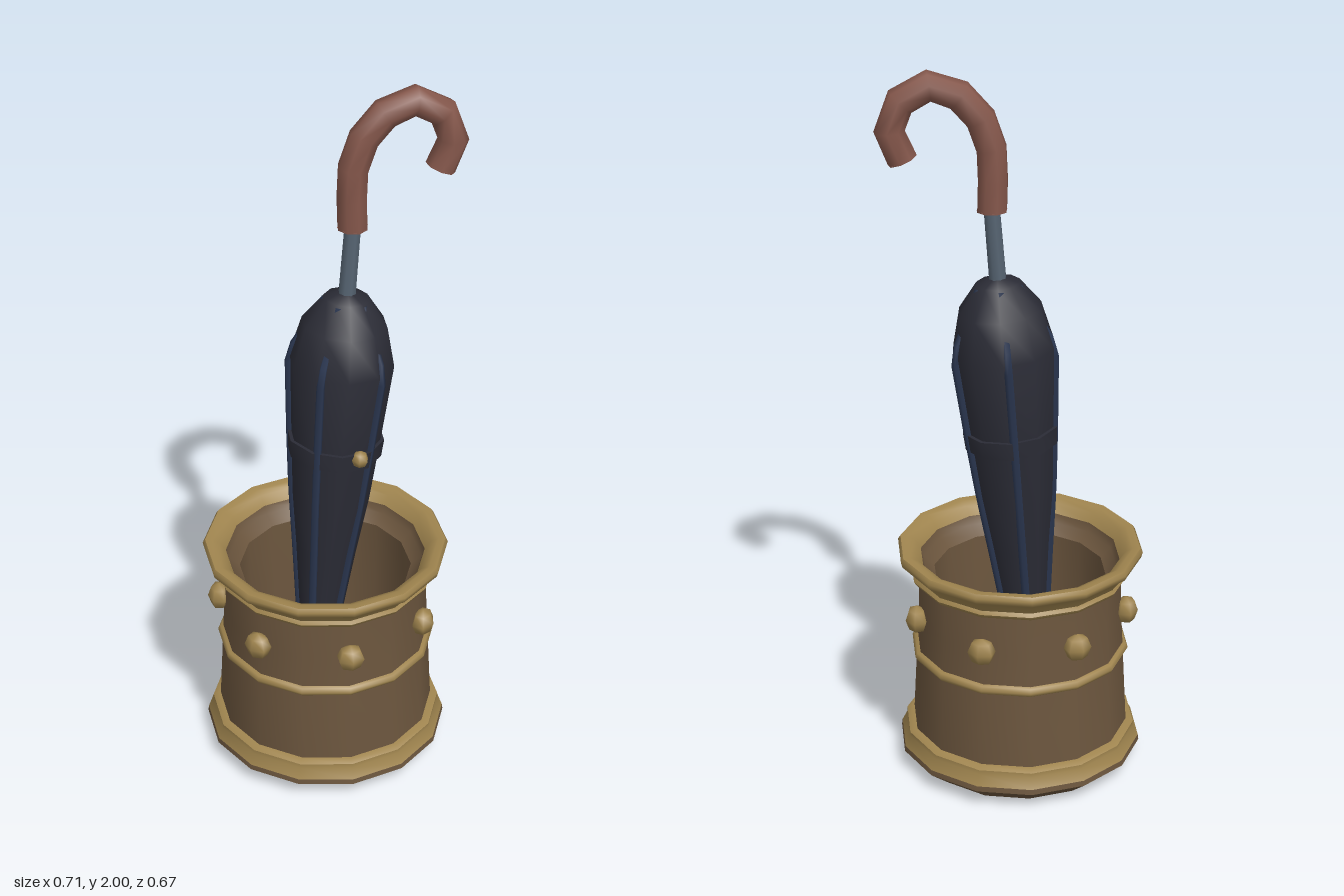
import * as THREE from 'three';
import { toCreasedNormals } from 'three/addons/utils/BufferGeometryUtils.js';

const paint = (name, color) => {
  const m = new THREE.MeshStandardMaterial({ color });
  m.name = name;
  return m;
};

export function createModel() {
  const brown = paint('brown', 0x6c563e);
  const gold = paint('gold', 0xa0854f);
  const navy = paint('dark navy', 0x2b2c36);
  const blue = paint('rib blue', 0x2b3751);
  const steel = paint('steel', 0x566472);
  const wood = paint('red wood', 0x85574b);

  const model = new THREE.Group();
  const add = (parent, name, geometry, material, x = 0, y = 0, z = 0) => {
    const mesh = new THREE.Mesh(geometry, material);
    mesh.name = name;
    mesh.position.set(x, y, z);
    parent.add(mesh);
    return mesh;
  };
  // Profiles run upwards on the outside
  const lathe = (profile, sides, crease = 0.75) => {
    const g = new THREE.LatheGeometry(profile.map(([r, y]) => new THREE.Vector2(r, y)), sides);
    return toCreasedNormals(g.rotateY(Math.PI / 2), crease);
  };

  // ---- Stand ----
  const stand = new THREE.Group();
  stand.name = 'stand';
  stand.position.set(-0.017, 0, -0.001);
  model.add(stand);

  add(stand, 'base', lathe([[0, 0], [0.28, 0], [0.342, 0.05], [0.34, 0.065]], 14), brown);
  add(stand, 'baseTrim', lathe([[0.34, 0.065], [0.325, 0.095], [0.325, 0.108], [0.31, 0.116], [0.29, 0.116]], 14), gold);
  add(stand, 'wall', lathe([[0.305, 0.1], [0.292, 0.34], [0.286, 0.45], [0.283, 0.58]], 14), brown);
  add(stand, 'middleBand', lathe([[0.285, 0.33], [0.3, 0.335], [0.306, 0.346], [0.3, 0.357], [0.285, 0.362]], 14, 1.2), gold);
  add(stand, 'rim', lathe([[0.28, 0.565], [0.3, 0.57], [0.306, 0.58], [0.3, 0.59], [0.322, 0.62],
    [0.338, 0.63], [0.342, 0.645], [0.335, 0.656], [0.315, 0.655], [0.295, 0.645], [0.278, 0.62]], 14, 1), gold);
  add(stand, 'inside', lathe([[0.278, 0.62], [0.27, 0.595], [0.24, 0.57], [0.235, 0.4], [0.23, 0.06], [0, 0.05]], 14), brown);

  // Ring of studs
  for (let i = 0; i < 7; i++) {
    const a = (i / 7) * Math.PI * 2;
    const stud = add(stand, 'stud', new THREE.SphereGeometry(0.04, 6, 4), gold,
      Math.cos(a) * 0.3, 0.465, Math.sin(a) * 0.3);
    stud.rotation.y = -a;
    stud.scale.x = 0.8;
  }

  // ---- Umbrella, leaning slightly ----
  const umbrella = new THREE.Group();
  umbrella.name = 'umbrella';
  umbrella.position.set(-0.075, 0, 0.015);
  umbrella.rotation.z = -Math.atan(0.08);
  model.add(umbrella);

  add(umbrella, 'canopy', lathe([[0, 0.1], [0.025, 0.12], [0.06, 0.42], [0.086, 0.65], [0.108, 0.82],
    [0.123, 1.0], [0.142, 1.24], [0.115, 1.35], [0.06, 1.425], [0, 1.447]], 10, 1), navy);
  add(umbrella, 'strap', lathe([[0.11, 0.962], [0.13, 0.962], [0.134, 1.012], [0.115, 1.012]], 10), navy);
  add(umbrella, 'strapButton', new THREE.SphereGeometry(0.024, 6, 4), gold, 0.01, 1.0, 0.13);
  add(umbrella, 'shaft', new THREE.CylinderGeometry(0.022, 0.024, 0.3, 8), steel, 0, 1.53, 0);

  // Five ribs following the folded cloth
  const ribPath = new THREE.CurvePath();
  const ribPoints = [[0.055, 1.415], [0.142, 1.245], [0.122, 1.0], [0.105, 0.82], [0.084, 0.65], [0.025, 0.14]]
    .map(([r, y]) => new THREE.Vector3(r, y, 0));
  for (let i = 1; i < ribPoints.length; i++) ribPath.add(new THREE.LineCurve3(ribPoints[i - 1], ribPoints[i]));
  const ribGeometry = new THREE.TubeGeometry(ribPath, 24, 0.012, 5);
  for (let i = 0; i < 5; i++) {
    add(umbrella, 'rib', ribGeometry, blue).rotation.y = THREE.MathUtils.degToRad(5 - i * 72);
  }

  // Crook handle
  const crook = new THREE.CatmullRomCurve3([[0.054, 1.62], [0.057, 1.8], [0.11, 1.91], [0.205, 1.96],
    [0.288, 1.915], [0.312, 1.845], [0.28, 1.765]]
    .map(([x, y]) => new THREE.Vector3(x, y, 0.015 + (x - 0.054) * 0.22)));
  const handle = new THREE.Group();
  handle.name = 'handle';
  model.add(handle);
  add(handle, 'crook', new THREE.TubeGeometry(crook, 8, 0.041, 8), wood);
  for (const t of [0, 1]) {
    const p = crook.getPointAt(t);
    const cap = add(handle, 'handleEnd', new THREE.ConeGeometry(0.041, 0.008, 8).rotateX(Math.PI / 2), wood, p.x, p.y, p.z);
    cap.lookAt(p.clone().addScaledVector(crook.getTangentAt(t), t ? 1 : -1));
  }

  return model;
}
